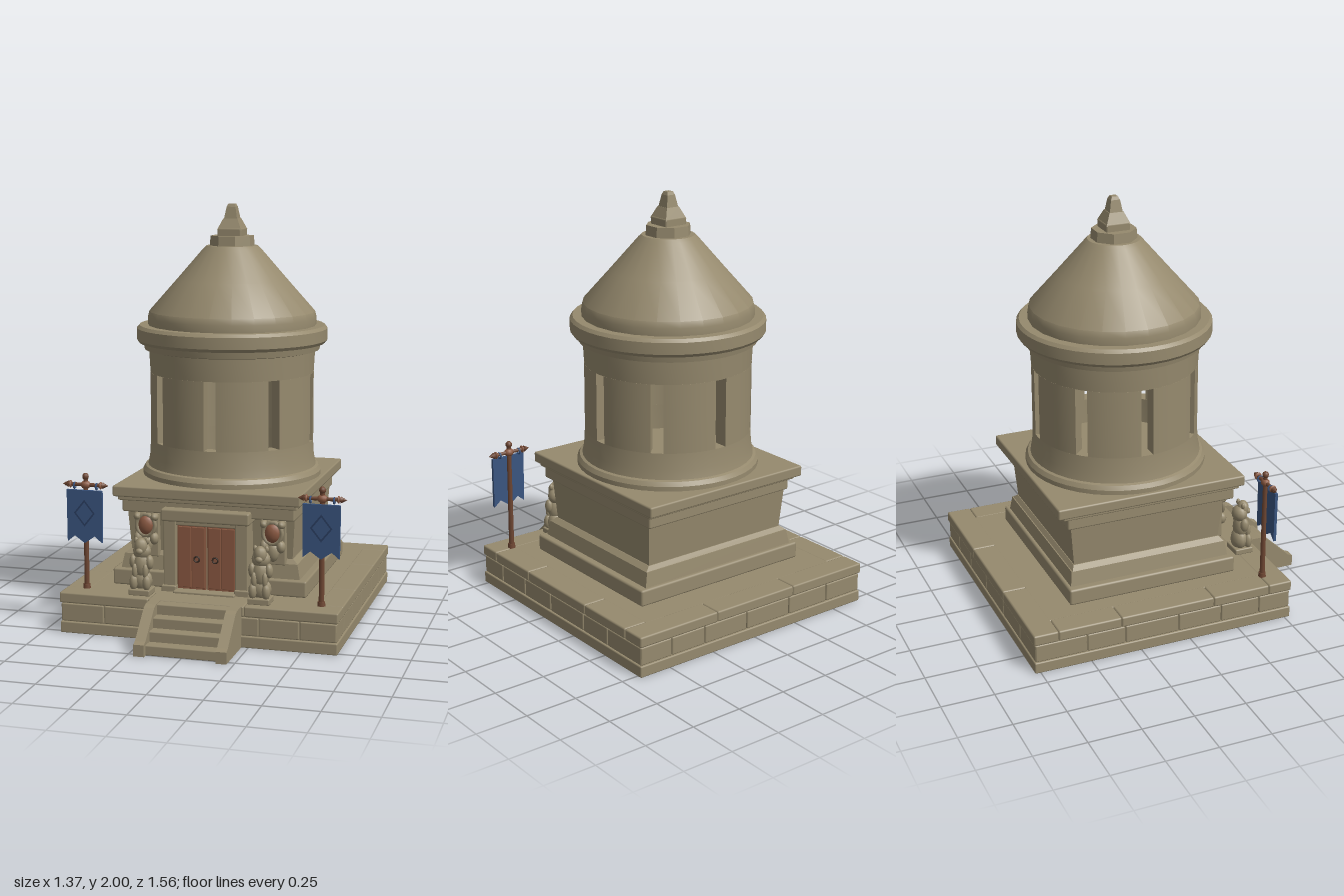
import * as THREE from 'three';
import { toCreasedNormals } from 'three/addons/utils/BufferGeometryUtils.js';
import { RoundedBoxGeometry } from 'three/addons/geometries/RoundedBoxGeometry.js';

const mat = (name, color) => {
  const m = new THREE.MeshStandardMaterial({ color });
  m.name = name;
  return m;
};

export function createModel() {
  const stone = mat('stone', 0x968a6e);
  const doorWood = mat('door wood', 0x8c5a42);
  const poleWood = mat('pole wood', 0x6e4632);
  const cloth = mat('blue cloth', 0x3a5580);
  const darkCloth = mat('dark blue cloth', 0x2b3f62);
  const iron = mat('dark iron', 0x3a2c24);
  const root = new THREE.Group();
  root.name = 'tower';
  const CZ = -0.108; // tower axis

  function add(parent, name, geo, material, x = 0, y = 0, z = 0) {
    const mesh = new THREE.Mesh(geo, material);
    mesh.name = name;
    mesh.position.set(x, y, z);
    parent.add(mesh);
    return mesh;
  }
  // Box given by its limits, with softened edges
  function block(parent, name, x0, x1, y0, y1, z0, z1, material = stone, r = 0.006) {
    const geo = new RoundedBoxGeometry(x1 - x0, y1 - y0, z1 - z0, 1, r);
    return add(parent, name, geo, material, (x0 + x1) / 2, (y0 + y1) / 2, (z0 + z1) / 2);
  }
  const lathe = (pts, seg) => toCreasedNormals(
    new THREE.LatheGeometry(pts.map(p => new THREE.Vector2(p[0], p[1])), seg), 0.5);
  // Square section tower drawn through [halfX, halfZ, y] levels
  function frustum(parent, name, a, b, z) {
    const geo = new THREE.BoxGeometry(2, 1, 2).toNonIndexed();
    const p = geo.attributes.position;
    for (let i = 0; i < p.count; i++) {
      const l = p.getY(i) > 0 ? b : a;
      p.setXYZ(i, p.getX(i) * l[0], l[2], p.getZ(i) * l[1]);
    }
    geo.computeVertexNormals();
    return add(parent, name, geo, stone, 0, 0, z);
  }

  // Platform: core, footing, block course and cap slabs
  const platform = new THREE.Group();
  platform.name = 'platform';
  root.add(platform);
  add(platform, 'platformCore', new THREE.BoxGeometry(1.31, 0.19, 1.28), stone, 0, 0.095, -0.125);
  block(platform, 'footing', -0.668, 0.668, 0, 0.055, -0.778, 0.528);
  const cutsX = [-0.664, -0.45, -0.21, 0.05, 0.3, 0.49, 0.664];
  const cutsZ = [-0.774, -0.52, -0.33, -0.06, 0.16, 0.36, 0.524];
  for (let i = 0; i < 6; i++) {
    for (const s of [-1, 1]) {
      const z = s > 0 ? 0.484 : -0.734;
      block(platform, 'courseBlock', cutsX[i] + 0.002, cutsX[i + 1] - 0.002, 0.057, 0.143, z - 0.04, z + 0.04);
      block(platform, 'courseBlock', s * 0.624 - 0.04, s * 0.624 + 0.04, 0.057, 0.143, cutsZ[i] + 0.002, cutsZ[i + 1] - 0.002);
    }
  }
  for (const s of [-1, 1]) {
    const z = s > 0 ? 0.47 : -0.72;
    for (const [a, b] of [[-0.67, -0.23], [-0.23, 0.23], [0.23, 0.67]])
      block(platform, 'capSlab', a, b, 0.146, 0.197, z - 0.06, z + 0.06, stone, 0.008);
    for (const [a, b] of [[-0.66, -0.35], [-0.35, 0.12], [0.12, 0.41]])
      block(platform, 'capSlab', s * 0.61 - 0.06, s * 0.61 + 0.06, 0.146, 0.197, a, b, stone, 0.008);
  }
  block(platform, 'paving', -0.56, 0.56, 0.146, 0.196, -0.67, 0.42);

  // Stairs with sloping side walls
  const stairs = new THREE.Group();
  stairs.name = 'stairs';
  root.add(stairs);
  for (let i = 0; i < 4; i++)
    block(stairs, 'step', -0.175, 0.175, 0, 0.048 * (i + 1), 0.5, 0.755 - i * 0.057);
  const cheek = new THREE.Shape([[0.5, 0], [0.78, 0], [0.78, 0.055], [0.755, 0.065], [0.625, 0.185], [0.6, 0.195], [0.5, 0.195]]
    .map(p => new THREE.Vector2(p[0], p[1])));
  const cheekGeo = new THREE.ExtrudeGeometry(cheek, { depth: 0.05, bevelEnabled: false });
  cheekGeo.rotateY(-Math.PI / 2); // shape x becomes z
  for (const x of [-0.168, 0.218]) add(stairs, 'stairWall', cheekGeo, stone, x);

  // Square lower storey
  const base = new THREE.Group();
  base.name = 'lowerStorey';
  root.add(base);
  block(base, 'plinth', -0.475, 0.475, 0.195, 0.275, -0.53, 0.32, stone, 0.01);
  frustum(base, 'plinthStep', [0.44, 0.405, 0.27], [0.425, 0.395, 0.345], -0.108);
  frustum(base, 'plinthSlope', [0.425, 0.39, 0.345], [0.4, 0.375, 0.365], -0.108);
  frustum(base, 'lowerWall', [0.395, 0.37, 0.345], [0.41, 0.39, 0.57], -0.108);
  block(base, 'corniceLow', -0.42, 0.42, 0.56, 0.63, -0.515, 0.335, stone, 0.008);
  block(base, 'corniceMiddle', -0.435, 0.435, 0.618, 0.642, -0.54, 0.355);
  block(base, 'corniceTop', -0.455, 0.455, 0.638, 0.69, -0.572, 0.375, stone, 0.008);

  // Doorway
  const porch = new THREE.Group();
  porch.name = 'doorway';
  root.add(porch);
  block(porch, 'porchBlock', -0.2, 0.2, 0.19, 0.59, 0.2, 0.335);
  block(porch, 'lintel', -0.215, 0.215, 0.535, 0.595, 0.25, 0.383, stone, 0.01);
  block(porch, 'innerLintel', -0.15, 0.15, 0.515, 0.54, 0.3, 0.362);
  block(porch, 'threshold', -0.15, 0.15, 0.19, 0.207, 0.3, 0.4);
  for (const s of [-1, 1]) {
    block(porch, 'doorPost', s * 0.175 - 0.031, s * 0.175 + 0.031, 0.19, 0.54, 0.25, 0.367);
    block(porch, 'postFoot', s * 0.178 - 0.036, s * 0.178 + 0.036, 0.19, 0.225, 0.28, 0.378);
    block(porch, 'doorLeaf', s * 0.073 - 0.07, s * 0.073 + 0.07, 0.205, 0.517, 0.32, 0.345, doorWood, 0.003);
    for (const x of [0.04, 0.106])
      block(porch, 'doorPlank', s * x - 0.031, s * x + 0.031, 0.215, 0.508, 0.335, 0.35, doorWood, 0.003);
    add(porch, 'doorHandle', new THREE.TorusGeometry(0.013, 0.004, 6, 12), iron, s * 0.045, 0.355, 0.354);
  }

  // Round drum: sill, wall with eight slits, head ring, crown and roof
  const drum = new THREE.Group();
  drum.name = 'drum';
  drum.position.z = CZ;
  root.add(drum);
  add(drum, 'drumFoot', lathe([[0, 0.685], [0.437, 0.685], [0.437, 0.712], [0.425, 0.732], [0.412, 0.737],
    [0.403, 0.78], [0.398, 0.86], [0.33, 0.86], [0.33, 0.735], [0, 0.735]], 40), stone);
  const sector = new THREE.Shape();
  const gapOut = 0.075, gapIn = 0.091, q = Math.PI / 4;
  sector.absarc(0, 0, 0.398, gapOut, q - gapOut, false);
  sector.absarc(0, 0, 0.33, q - gapIn, gapIn, true);
  const sectorGeo = toCreasedNormals(new THREE.ExtrudeGeometry(sector,
    { depth: 0.33, bevelEnabled: false, curveSegments: 5 }).rotateX(-Math.PI / 2), 0.5);
  for (let i = 0; i < 8; i++) add(drum, 'wallBetweenSlits', sectorGeo, stone, 0, 0.86).rotation.y = i * q;
  add(drum, 'drumHead', lathe([[0.33, 1.19], [0.398, 1.19], [0.404, 1.298], [0.425, 1.303], [0.432, 1.34],
    [0.33, 1.34], [0.33, 1.19]], 40), stone);
  add(drum, 'crownRing', lathe([[0, 1.335], [0.452, 1.335], [0.463, 1.35], [0.463, 1.405], [0.45, 1.42], [0, 1.42]], 40), stone);
  add(drum, 'roof', lathe([[0, 1.41], [0.408, 1.41], [0.41, 1.455], [0.402, 1.485], [0.27, 1.635], [0.14, 1.785],
    [0.125, 1.8], [0, 1.8]], 24), stone);

  // Finial
  const eight = new THREE.CylinderGeometry(0.105, 0.11, 0.055, 8).rotateY(Math.PI / 8).toNonIndexed();
  eight.computeVertexNormals();
  add(drum, 'finialBase', eight, stone, 0, 1.82);
  block(drum, 'finialBlock', -0.06, 0.06, 1.84, 1.885, -0.06, 0.06, stone, 0.008);
  frustum(drum, 'finialSlope', [0.06, 0.06, 1.875], [0.035, 0.035, 1.93], 0);
  frustum(drum, 'finialNeck', [0.033, 0.033, 1.925], [0.022, 0.022, 1.985], 0);
  frustum(drum, 'finialTip', [0.022, 0.022, 1.985], [0.015, 0.015, 2], 0);

  // Guardian statues, carved wall shields and banners, one set per side
  const ball = new THREE.SphereGeometry(1, 10, 8);
  function lump(parent, name, x, y, z, sx, sy, sz, material = stone) {
    add(parent, name, ball, material, x, y, z).scale.set(sx, sy, sz);
  }
  const flag = new THREE.Shape([[-0.088, 0.675], [-0.086, 0.425], [-0.05, 0.455], [0, 0.42], [0.05, 0.455], [0.086, 0.425], [0.088, 0.675]]
    .map(p => new THREE.Vector2(p[0], p[1])));
  const flagGeo = new THREE.ExtrudeGeometry(flag, { depth: 0.014, bevelEnabled: false });
  const diamond = new THREE.RingGeometry(0.042, 0.052, 4);

  for (const s of [-1, 1]) {
    const side = s > 0 ? 'left' : 'right';
    const statue = new THREE.Group();
    statue.name = side + 'Statue';
    statue.position.set(s * 0.288, 0.195, 0.44);
    root.add(statue);
    block(statue, 'statueFoot', -0.052, 0.052, 0, 0.03, -0.045, 0.05);
    lump(statue, 'haunches', 0, 0.065, -0.005, 0.05, 0.055, 0.04);
    lump(statue, 'chest', 0, 0.135, 0, 0.043, 0.065, 0.036);
    lump(statue, 'mane', 0, 0.205, -0.005, 0.045, 0.042, 0.038);
    lump(statue, 'head', 0, 0.23, 0.012, 0.032, 0.042, 0.03);
    lump(statue, 'muzzle', 0, 0.212, 0.038, 0.018, 0.015, 0.014);
    for (const t of [-1, 1]) {
      lump(statue, 'knee', t * 0.032, 0.06, 0.03, 0.02, 0.038, 0.02);
      lump(statue, 'shoulder', t * 0.04, 0.155, 0.005, 0.019, 0.035, 0.022);
      lump(statue, 'forearm', t * 0.026, 0.115, 0.03, 0.014, 0.036, 0.014);
      lump(statue, 'ear', t * 0.027, 0.255, 0, 0.011, 0.016, 0.01);
    }

    const relief = new THREE.Group();
    relief.name = side + 'WallRelief';
    relief.position.set(s * 0.31, 0, 0.285);
    root.add(relief);
    block(relief, 'reliefPanel', -0.06, 0.06, 0.34, 0.555, -0.03, 0.015);
    lump(relief, 'shield', 0, 0.495, 0.025, 0.038, 0.048, 0.026, doorWood);
    add(relief, 'shieldRim', new THREE.TorusGeometry(0.045, 0.011, 6, 14), stone, 0, 0.495, 0.025).scale.y = 1.15;
    for (const t of [-1, 1]) {
      lump(relief, 'scroll', t * 0.042, 0.535, 0.02, 0.02, 0.02, 0.025);
      lump(relief, 'scroll', t * 0.04, 0.43, 0.02, 0.022, 0.03, 0.025);
    }
    lump(relief, 'pendant', 0, 0.4, 0.018, 0.03, 0.045, 0.022);

    const banner = new THREE.Group();
    banner.name = side + 'Banner';
    banner.position.set(s * 0.57, 0, 0.422);
    root.add(banner);
    add(banner, 'pole', new THREE.CylinderGeometry(0.011, 0.013, 0.54, 8), poleWood, 0, 0.46);
    add(banner, 'poleFoot', new THREE.CylinderGeometry(0.017, 0.02, 0.025, 8), poleWood, 0, 0.205);
    lump(banner, 'poleKnob', 0, 0.738, 0, 0.016, 0.017, 0.016, poleWood);
    add(banner, 'crossbar', new THREE.CylinderGeometry(0.009, 0.009, 0.2, 8).rotateZ(Math.PI / 2), poleWood, 0, 0.698);
    lump(banner, 'crossbarHub', 0, 0.698, 0, 0.025, 0.02, 0.02, doorWood);
    for (const t of [-1, 1]) {
      lump(banner, 'crossbarCollar', t * 0.075, 0.698, 0, 0.007, 0.018, 0.018, doorWood);
      add(banner, 'crossbarEnd', new THREE.ConeGeometry(0.016, 0.03, 8).rotateZ(-t * Math.PI / 2), poleWood, t * 0.1, 0.698);
      add(banner, 'clothLoop', new THREE.TorusGeometry(0.013, 0.005, 5, 10).rotateY(Math.PI / 2), cloth, t * 0.055, 0.692);
    }
    add(banner, 'bannerCloth', flagGeo, cloth, 0, 0, 0.008);
    add(banner, 'bannerDiamond', diamond, darkCloth, 0, 0.565, 0.0235).scale.y = 1.25;
  }
  return root;
}
